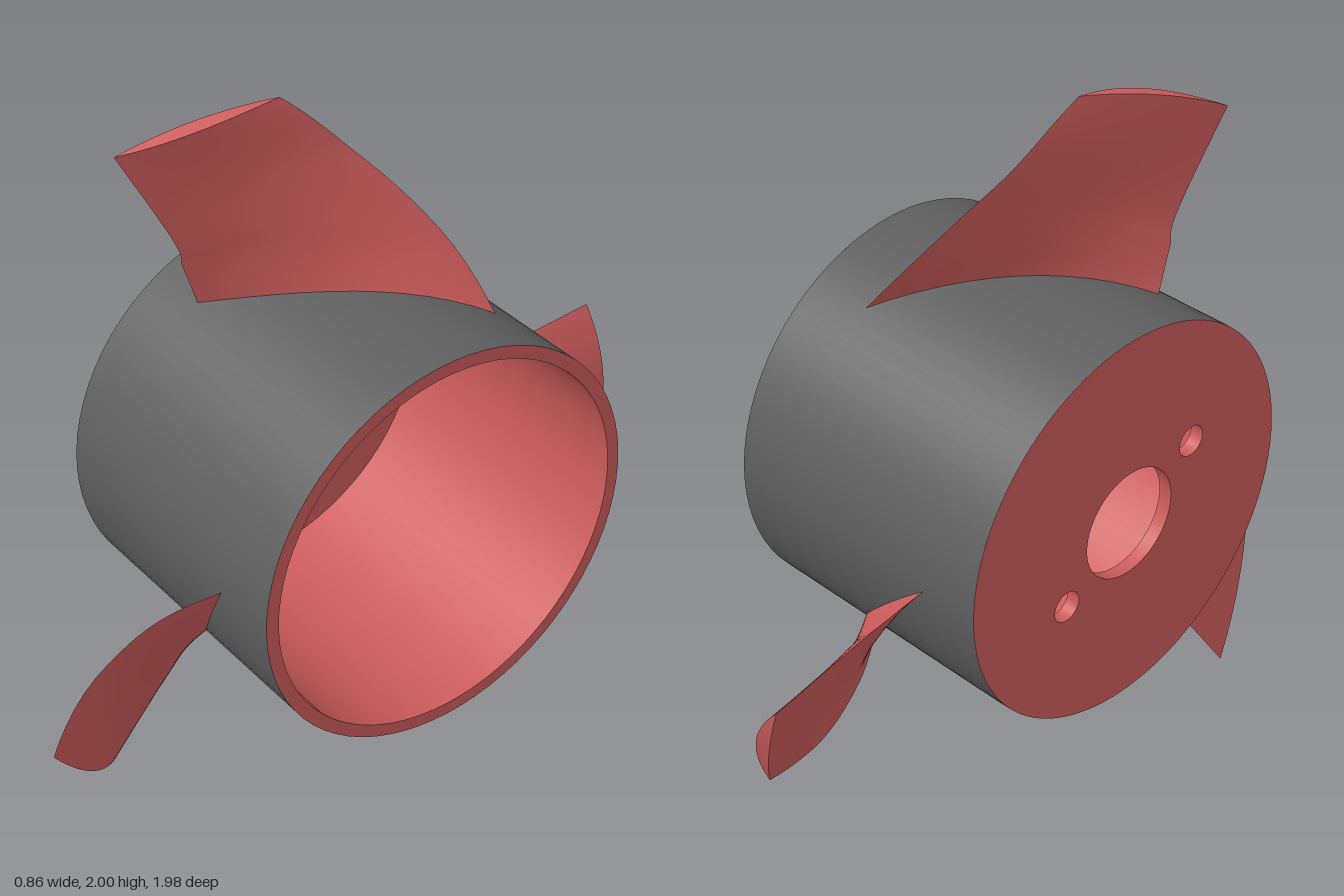
import * as THREE from 'three';
import { ParametricGeometry } from 'three/addons/geometries/ParametricGeometry.js';

const R = 0.572, INNER = 0.535, HALF = 0.432, FLOOR = 0.04, SEG = 72;
const red = new THREE.MeshStandardMaterial({ color: 0xcd5c5c });
const redThin = new THREE.MeshStandardMaterial({ color: 0xcd5c5c, side: THREE.DoubleSide });
const grey = new THREE.MeshStandardMaterial({ color: 0x5f5f5f });

// Blade edges as curves of (radius, angle in degrees, position along the axis)
const edge = (...p) => new THREE.CatmullRomCurve3(p.map(q => new THREE.Vector3(...q)));
const leading = edge([0.55, 30, -0.255], [0.7, 27.6, -0.25], [0.85, 26.2, -0.251], [1.093, 26.3, -0.282]);
const trailing = edge([0.55, -32.5, 0.26], [0.69, -21.7, 0.125], [0.8, -12.5, 0.03], [0.93, -3.2, -0.06], [1.093, 5.5, -0.122]);

// Point on the blade: s root to tip, t leading to trailing edge, w hollow to bulged side
function bladePoint(s, t, w, target) {
  const a = leading.getPoint(s), b = trailing.getPoint(s);
  const p = a.clone().lerp(b, t);
  const deg = Math.PI / 180;
  const du = (a.y - b.y) * deg * p.x, dx = b.z - a.z, len = Math.hypot(du, dx);
  const bulge = 4 * t * (1 - t) * (-0.004 + 0.046 * w);
  const angle = p.y * deg + bulge * dx / len / p.x;
  target.set(p.z + bulge * du / len, p.x * Math.cos(angle), p.x * Math.sin(angle));
}

function patch(name, fn, nu, nv) {
  const g = new ParametricGeometry(fn, nu, nv);
  g.computeVertexNormals();
  const m = new THREE.Mesh(g, red);
  m.name = name;
  return m;
}

function makeBlade() {
  const blade = new THREE.Group();
  blade.add(
    patch('bladeBulgedSide', (u, v, o) => bladePoint(v, u, 1, o), 24, 24),
    patch('bladeHollowSide', (u, v, o) => bladePoint(u, v, 0, o), 24, 24),
    patch('bladeTip', (u, v, o) => bladePoint(1, v, u, o), 2, 24)
  );
  return blade;
}

function makeHub() {
  const hub = new THREE.Group();
  hub.name = 'hub';
  const add = (name, geometry, material) => {
    const m = new THREE.Mesh(geometry, material);
    m.name = name;
    hub.add(m);
  };
  // Outer skin, inner wall and rim of the open end
  add('hubSkin', new THREE.CylinderGeometry(R, R, 2 * HALF, SEG, 1, true).rotateZ(-Math.PI / 2), grey);
  add('hubInnerWall', new THREE.CylinderGeometry(INNER, INNER, 2 * HALF - FLOOR, SEG, 1, true)
    .rotateZ(-Math.PI / 2).translate(FLOOR / 2, 0, 0), redThin);
  add('hubRim', new THREE.RingGeometry(INNER, R, SEG).rotateY(Math.PI / 2).translate(HALF, 0, 0), red);

  // End plate with shaft hole and two pin holes
  const plate = new THREE.Shape().absarc(0, 0, R - 0.001, 0, Math.PI * 2);
  for (const [x, y, r] of [[0, 0, 0.161], [-0.232, 0.146, 0.045], [0.232, -0.146, 0.045]])
    plate.holes.push(new THREE.Path().absarc(x, y, r, 0, Math.PI * 2, true));
  add('endPlate', new THREE.ExtrudeGeometry(plate, { depth: FLOOR, bevelEnabled: false, curveSegments: 48 })
    .rotateY(Math.PI / 2).translate(-HALF, 0, 0), red);
  return hub;
}

export function createModel() {
  const model = new THREE.Group();
  model.name = 'propeller';
  const rotor = new THREE.Group();
  rotor.name = 'rotor';
  rotor.position.set(0, 0.914, 0.105);
  rotor.add(makeHub());
  // Three blades evenly spaced about the axis
  for (let i = 0; i < 3; i++) {
    const blade = makeBlade();
    blade.name = 'blade' + (i + 1);
    blade.rotation.x = i * Math.PI * 2 / 3;
    rotor.add(blade);
  }
  model.add(rotor);
  return model;
}
